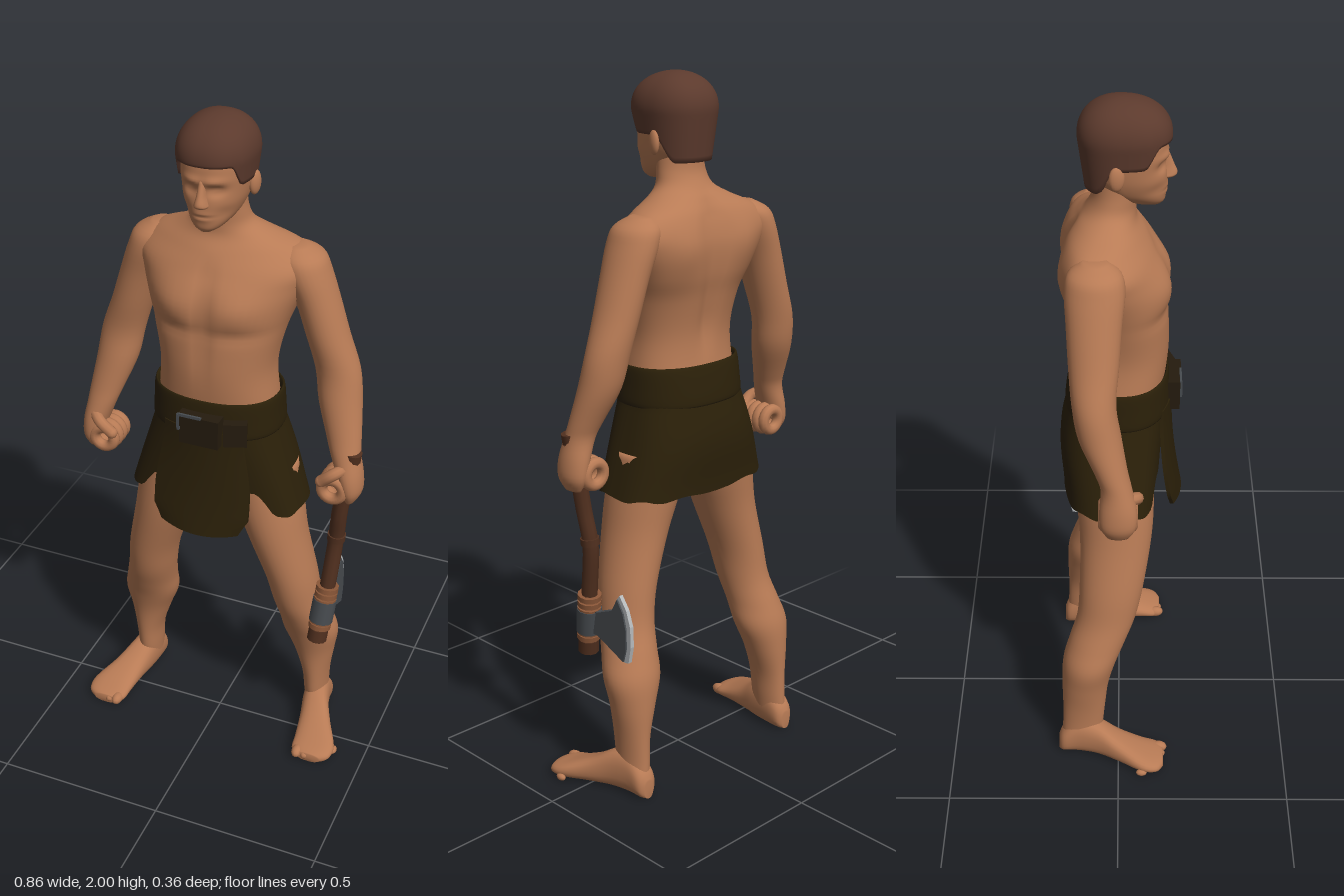
import * as THREE from 'three';

const mat = (name, color, side = THREE.FrontSide) => {
  const m = new THREE.MeshStandardMaterial({ color, side });
  m.name = name;
  return m;
};
const pw = (v, n) => Math.sign(v) * Math.pow(Math.abs(v), 2 / n);
const bell = (d, w) => Math.exp(-(d * d) / (w * w));
const lerp = THREE.MathUtils.lerp, smooth = THREE.MathUtils.smoothstep;

// Closed skin of rows of rings; fn(v, t) gives a point, capped with centre points
function skinRings(rows, cols, fn, caps = true) {
  const pos = [], idx = [];
  for (let i = 0; i <= rows; i++)
    for (let j = 0; j < cols; j++) pos.push(...fn(i / rows, (j / cols) * Math.PI * 2));
  for (let i = 0; i < rows; i++)
    for (let j = 0; j < cols; j++) {
      const k = (j + 1) % cols, a = i * cols + j, b = i * cols + k;
      idx.push(a, a + cols, b, b, a + cols, b + cols);
    }
  if (caps) for (const r of [0, rows]) {
    const c = [0, 0, 0], n = pos.length / 3;
    for (let j = 0; j < cols; j++) for (let q = 0; q < 3; q++) c[q] += pos[(r * cols + j) * 3 + q] / cols;
    pos.push(...c);
    for (let j = 0; j < cols; j++) {
      const a = r * cols + j, b = r * cols + (j + 1) % cols;
      if (r) idx.push(a, n, b); else idx.push(a, b, n);
    }
  }
  const g = new THREE.BufferGeometry();
  g.setAttribute('position', new THREE.Float32BufferAttribute(pos, 3));
  g.setIndex(idx);
  g.computeVertexNormals();
  return g;
}

// Smooth interpolation through a list of equally long cross-sections
function sample(sec, v) {
  const f = v * (sec.length - 1), i = Math.min(Math.floor(f), sec.length - 2), u = f - i;
  const p1 = sec[i], p2 = sec[i + 1], p0 = sec[i - 1] || p1, p3 = sec[i + 2] || p2;
  return p1.map((b, k) => {
    const m = (p2[k] - p0[k]) / 2, n = (p3[k] - b) / 2, d = b - p2[k];
    return b + m * u + (-3 * d - 2 * m - n) * u * u + (2 * d + m + n) * u * u * u;
  });
}
const loft = (sec, point, cols = 28, steps = 4, caps = true) =>
  skinRings((sec.length - 1) * steps, cols, (v, t) => point(sample(sec, v), t), caps);

// Limb section: x, y, z, radius x, radius z
const limbPoint = ([x, y, z, rx, rz], t) => [x + rx * Math.cos(t), y, z + rz * Math.sin(t)];
// Body section: y, half width, front z, back z, side z, front and back roundness
const bodyPoint = ([y, w, zf, zb, zc, nf = 2.3, nb = 2.3], t) => {
  const s = Math.sin(t), n = s > 0 ? nf : nb;
  return [w * pw(Math.cos(t), n), y, zc + pw(s, n) * (s > 0 ? zf - zc : zc - zb)];
};
function tweak(g, fn) {
  const p = g.attributes.position;
  for (let i = 0; i < p.count; i++) p.setXYZ(i, ...fn(p.getX(i), p.getY(i), p.getZ(i)));
  g.computeVertexNormals();
  return g;
}
function mirrored(g) {
  const m = g.clone().scale(-1, 1, 1), a = m.index.array;
  for (let i = 0; i < a.length; i += 3) [a[i], a[i + 1]] = [a[i + 1], a[i]];
  return m;
}

export function createModel() {
  const root = new THREE.Group();
  root.name = 'axeman';
  const skin = mat('skin', 0xb87b55), hairMat = mat('hair', 0x5c3a2d);
  const cloth = mat('darkCloth', 0x2b2009, THREE.DoubleSide), leather = mat('darkLeather', 0x251b0e);
  const wood = mat('wood', 0x51301f), cord = mat('cord', 0x8b5738);
  const steel = mat('steel', 0x484c50), edge = mat('sharpEdge', 0xb5b9bb);
  const add = (name, g, m, parent = root) => {
    const o = new THREE.Mesh(g, m);
    o.name = name;
    parent.add(o);
    return o;
  };
  const pair = (name, g, m) => {
    add('left' + name, g, m);
    add('right' + name, mirrored(g), m);
  };

  // Torso and neck, with chest, spine and belly relief
  const torso = loft([
    [0.82, 0.06, 0.05, -0.08, -0.01, 2.3, 2.3], [0.9, 0.16, 0.08, -0.12, -0.02, 2.3, 2.3],
    [1.0, 0.195, 0.1, -0.14, -0.02, 2.3, 2.3], [1.1, 0.182, 0.11, -0.135, -0.01, 2.3, 2.3],
    [1.2, 0.17, 0.128, -0.118, 0, 2.3, 2.3], [1.3, 0.163, 0.138, -0.113, 0, 2.3, 2.3],
    [1.4, 0.182, 0.136, -0.13, -0.01, 2.3, 2.3], [1.47, 0.205, 0.135, -0.147, -0.03, 2.2, 2.6],
    [1.54, 0.235, 0.122, -0.155, -0.05, 2, 2.8], [1.59, 0.25, 0.098, -0.15, -0.058, 1.9, 2.8],
    [1.635, 0.21, 0.072, -0.135, -0.062, 1.8, 2.6], [1.67, 0.135, 0.05, -0.112, -0.045, 2, 2.2],
    [1.7, 0.088, 0.046, -0.088, -0.025, 2, 2], [1.74, 0.074, 0.048, -0.07, -0.01, 2, 2],
    [1.79, 0.07, 0.05, -0.068, 0, 2, 2]], bodyPoint, 56, 5);
  add('torso', tweak(torso, (x, y, z) => {
    const ax = Math.abs(x);
    if (z > 0) z += 0.016 * bell(ax - 0.09, 0.07) * bell(y - 1.5, 0.05)
      - 0.01 * bell(x, 0.018) * smooth(y, 1.2, 1.42) * (1 - smooth(y, 1.56, 1.64))
      - 0.007 * bell(y - 1.425, 0.02) * bell(ax - 0.09, 0.08);
    else z += 0.018 * bell(x, 0.025) * smooth(y, 1.2, 1.35) * (1 - smooth(y, 1.62, 1.7))
      - 0.008 * bell(ax - 0.11, 0.05) * bell(y - 1.54, 0.07);
    return [x, y, z];
  }), skin);

  // Arms down to the palm
  pair('Arm', loft([
    [0.397, 0.915, 0, 0.014, 0.03], [0.398, 0.95, 0, 0.03, 0.048], [0.39, 1.0, 0, 0.037, 0.05],
    [0.373, 1.06, -0.005, 0.043, 0.042], [0.36, 1.11, -0.02, 0.05, 0.045], [0.337, 1.2, -0.048, 0.061, 0.057],
    [0.321, 1.29, -0.063, 0.063, 0.058], [0.288, 1.39, -0.063, 0.06, 0.066], [0.256, 1.49, -0.062, 0.06, 0.072],
    [0.225, 1.57, -0.06, 0.064, 0.078], [0.208, 1.615, -0.06, 0.06, 0.068], [0.195, 1.642, -0.06, 0.025, 0.03]],
    limbPoint), skin);
  // Curled fingers and thumb
  for (let i = 0; i < 4; i++)
    pair('Finger' + (i + 1), new THREE.TorusGeometry(0.034 - 0.002 * Math.abs(i - 1.5), 0.0165, 10, 22)
      .translate(0.352, 0.958, 0.037 - i * 0.025), skin);
  pair('Thumb', new THREE.TubeGeometry(new THREE.CatmullRomCurve3([
    new THREE.Vector3(0.385, 1.03, 0.025), new THREE.Vector3(0.355, 1.015, 0.05),
    new THREE.Vector3(0.322, 0.985, 0.048)]), 10, 0.017, 10), skin);
  pair('ThumbTip', new THREE.SphereGeometry(0.017, 12, 8).translate(0.322, 0.985, 0.048), skin);

  // Legs
  pair('Leg', loft([
    [0.292, 0.04, -0.115, 0.036, 0.056], [0.287, 0.1, -0.108, 0.036, 0.06], [0.285, 0.18, -0.103, 0.042, 0.063],
    [0.277, 0.27, -0.098, 0.063, 0.069], [0.267, 0.35, -0.085, 0.084, 0.078], [0.255, 0.42, -0.062, 0.078, 0.082],
    [0.238, 0.5, -0.035, 0.073, 0.085], [0.22, 0.6, -0.02, 0.076, 0.092], [0.18, 0.74, -0.008, 0.087, 0.102],
    [0.15, 0.85, -0.01, 0.1, 0.11], [0.12, 0.98, -0.02, 0.105, 0.115]], limbPoint, 32, 5), skin);
  // Feet: z, centre x, half width, top height
  pair('Foot', loft([
    [0.135, 0.345, 0.035, 0.028], [0.115, 0.347, 0.06, 0.037], [0.07, 0.345, 0.064, 0.052],
    [0, 0.322, 0.051, 0.083], [-0.06, 0.302, 0.043, 0.118], [-0.12, 0.292, 0.038, 0.125],
    [-0.165, 0.291, 0.033, 0.085], [-0.18, 0.291, 0.016, 0.055]],
    ([z, x, w, h], t) => [x + w * pw(Math.cos(t), 2.5), h / 2 + h / 2 * pw(Math.sin(t), 2.3), z], 24), skin);
  for (let i = 0; i < 5; i++) {
    const r = 0.019 - i * 0.0018;
    pair('Toe' + (i + 1), new THREE.SphereGeometry(r, 12, 8).scale(0.9, 0.9, 1.4)
      .translate(0.307 + i * 0.025, r * 0.9 + 0.001, 0.121 - i * i * 0.0032), skin);
  }

  // Head with eye sockets, brow, mouth and cheeks
  const head = loft([
    [1.71, 0.018, 0.108, 0.06, 0.08], [1.724, 0.041, 0.119, 0.02, 0.06], [1.75, 0.064, 0.122, -0.03, 0.03],
    [1.785, 0.08, 0.125, -0.06, 0.01], [1.82, 0.088, 0.123, -0.082, 0], [1.86, 0.092, 0.124, -0.09, 0],
    [1.9, 0.092, 0.12, -0.092, 0], [1.94, 0.08, 0.1, -0.08, 0], [1.97, 0.05, 0.06, -0.05, 0]], bodyPoint, 72, 8);
  add('head', tweak(head, (x, y, z) => {
    const ax = Math.abs(x);
    if (z > 0.03) z += 0.007 * bell(y - 1.853, 0.012) * bell(ax - 0.03, 0.03)
      - 0.014 * bell(y - 1.829, 0.014) * bell(ax - 0.036, 0.02)
      + 0.005 * bell(y - 1.828, 0.007) * bell(ax - 0.036, 0.013)
      - 0.006 * bell(y - 1.757, 0.004) * bell(x, 0.025)
      + 0.005 * bell(y - 1.757, 0.014) * bell(x, 0.025)
      - 0.006 * bell(y - 1.765, 0.02) * bell(ax - 0.055, 0.02);
    return [x, y, z];
  }), skin);
  add('nose', loft([[1.781, 0.01, 0.13, 0.1, 0.115], [1.788, 0.02, 0.146, 0.1, 0.115],
    [1.798, 0.018, 0.15, 0.1, 0.115], [1.82, 0.012, 0.141, 0.1, 0.115], [1.855, 0.009, 0.127, 0.1, 0.11]],
    bodyPoint, 20), skin);
  pair('Ear', new THREE.SphereGeometry(1, 16, 12).scale(0.012, 0.034, 0.021).rotateY(-0.3)
    .translate(0.094, 1.818, -0.005), skin);

  // Short hair: hairline drops from the brow to the nape
  add('hair', skinRings(26, 72, (v, t) => {
    const s = Math.sin(t);
    const low = s > 0 ? lerp(1.837, 1.895, smooth(s, 0.45, 0.75)) : lerp(1.837, 1.765, smooth(-s, 0.05, 0.65));
    const y = low + (2 - low) * Math.sin(Math.max(0, v * 26 - 1) / 25 * Math.PI / 2);
    const k = (y > 1.9 ? Math.sqrt(Math.max(0, 1 - ((y - 1.9) / 0.1) ** 2.2)) : 1 - (1.9 - y) * 1.2) * (v === 0 ? 0.84 : 1);
    return bodyPoint([y, 0.104 * k, 0.005 + 0.132 * k, 0.005 - 0.112 * k, 0.005], t);
  }, false), hairMat);

  // Wrapped skirt, open at the front beneath the flap
  add('skirt', skinRings(16, 80, (v, t) => {
    const hem = lerp(0.858, 0.935, smooth(Math.sin(t), 0.72, 0.9)) + 0.004 * Math.sin(t * 9);
    const y = lerp(hem, 1.2, v), f = smooth(1.2 - y, 0, 0.34), d = Math.max(0, 1.12 - y);
    return bodyPoint([y, 0.18 + d * 0.3, lerp(0.133, 0.113, f), -0.132 - 0.034 * Math.sin(f * 2.3), -0.01,
      lerp(2.4, 3.4, f), lerp(2.4, 2.8, f)], t);
  }, false), cloth);
  add('waistband', loft([[1.105, 0.178, 0.13, -0.14, 0], [1.112, 0.188, 0.141, -0.15, 0], [1.16, 0.186, 0.141, -0.145, 0],
    [1.21, 0.183, 0.138, -0.135, 0], [1.218, 0.176, 0.132, -0.127, 0], [1.19, 0.166, 0.122, -0.115, 0]],
    bodyPoint, 56, 4, false), cloth);
  add('frontFlap', tweak(new THREE.BoxGeometry(2, 1, 0.01, 16, 14, 1), (x, y, z) => {
    const d = 0.5 - y, w = lerp(0.115, 0.143, smooth(d, 0, 0.7)) - 0.025 * smooth(d, 0.85, 1);
    return [x * w, 1.13 - 0.33 * d + 0.012 * x * x * d, z + 0.143 + 0.034 * d * d - 0.025 * x * x];
  }), cloth);

  // Belt pouches and buckle
  const box = (name, w, h, d, x, y, z, m, ry = 0) => {
    const o = add(name, new THREE.BoxGeometry(w, h, d), m);
    o.position.set(x, y, z);
    o.rotation.y = ry;
  };
  box('largePouch', 0.115, 0.085, 0.04, 0.005, 1.138, 0.15, leather);
  box('largePouchLid', 0.121, 0.035, 0.046, 0.005, 1.168, 0.151, leather);
  box('smallPouch', 0.065, 0.07, 0.034, 0.1, 1.14, 0.135, leather, 0.35);
  box('buckleTop', 0.07, 0.008, 0.006, -0.02, 1.186, 0.172, steel);
  box('buckleSide', 0.008, 0.05, 0.006, -0.053, 1.163, 0.173, steel);

  // Axe held head-down in the left hand
  const axe = new THREE.Group();
  axe.name = 'axe';
  root.add(axe);
  const path = new THREE.CatmullRomCurve3([[0.396, 1.065, 0.005], [0.378, 0.95, 0], [0.364, 0.85, -0.005],
    [0.354, 0.75, -0.018], [0.343, 0.6, 0.002], [0.326, 0.415, 0.03]].map(p => new THREE.Vector3(...p)));
  add('handle', new THREE.TubeGeometry(path, 30, 0.023, 10), wood, axe);
  const collar = (name, y, r, h, m) => {
    const u = (1.065 - y) / 0.65;
    const o = add(name, new THREE.CylinderGeometry(r, r, h, 12), m, axe);
    o.position.copy(path.getPointAt(u));
    o.quaternion.setFromUnitVectors(new THREE.Vector3(0, 1, 0), path.getTangentAt(u).negate());
  };
  collar('handleTop', 1.06, 0.026, 0.03, wood);
  collar('handleKnot', 0.76, 0.027, 0.02, wood);
  collar('handleFoot', 0.425, 0.03, 0.04, wood);
  collar('headSocket', 0.51, 0.036, 0.075, steel);
  for (const y of [0.585, 0.565, 0.545, 0.475, 0.457]) collar('cordWrap', y, 0.034, 0.015, cord);

  // Blade outlines: x runs towards the back
  const plate = (name, pts, depth, m) => {
    const s = new THREE.Shape(pts.map(p => new THREE.Vector2(...p)));
    add(name, new THREE.ExtrudeGeometry(s, { depth, bevelEnabled: false })
      .rotateY(Math.PI / 2).translate(0.334 - depth / 2, 0, 0), m, axe);
  };
  plate('blade', [[-0.04, 0.475], [0.03, 0.475], [0.09, 0.45], [0.135, 0.43], [0.146, 0.47], [0.146, 0.53],
    [0.135, 0.575], [0.112, 0.61], [0.09, 0.57], [0.03, 0.545], [-0.04, 0.545]], 0.022, steel);
  plate('bladeEdge', [[0.133, 0.427], [0.152, 0.43], [0.162, 0.48], [0.16, 0.54], [0.145, 0.585], [0.118, 0.622],
    [0.105, 0.605], [0.13, 0.57], [0.142, 0.53], [0.142, 0.47]], 0.012, edge);
  return root;
}
